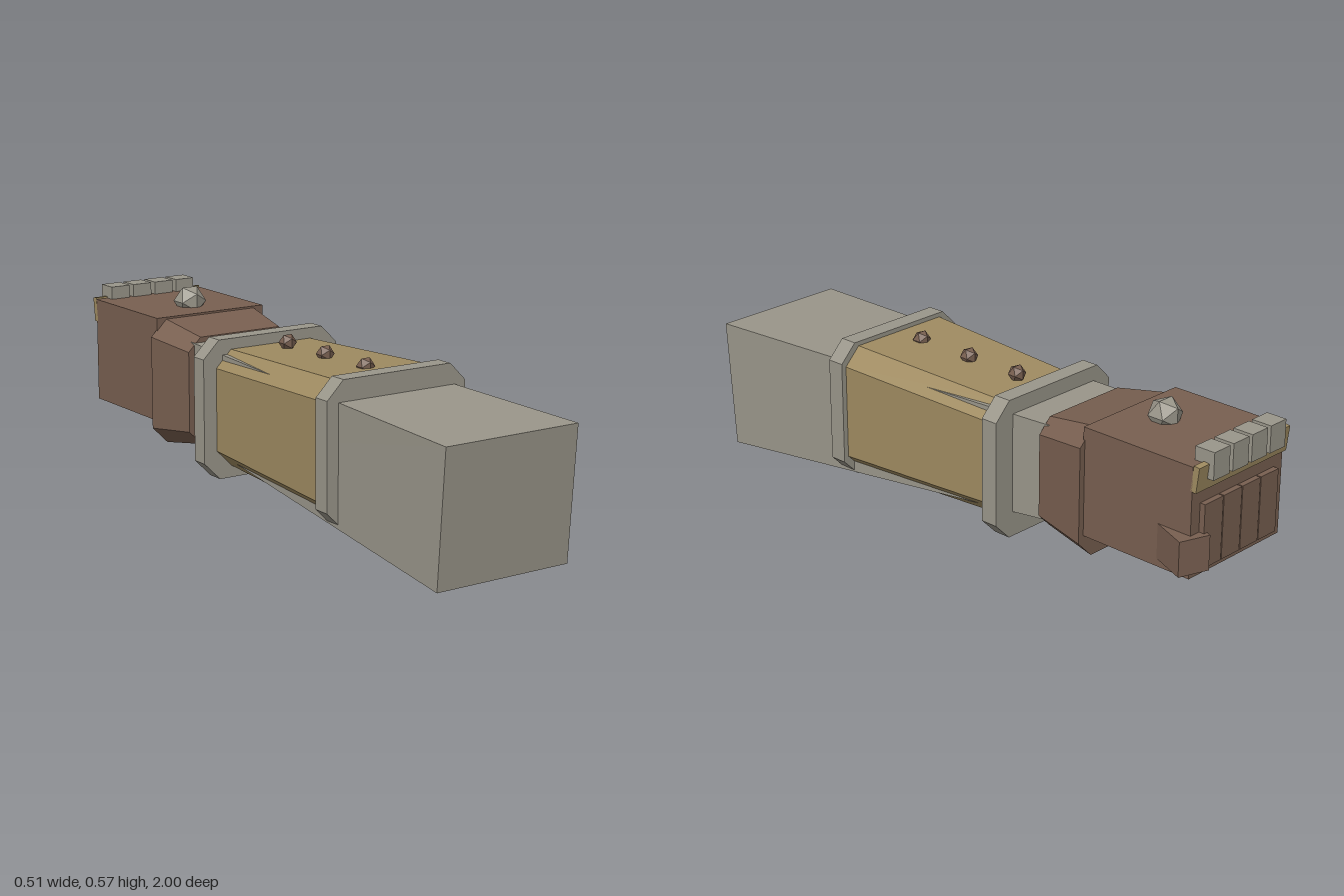
import * as THREE from 'three';

const mat = (name, color) => {
  const m = new THREE.MeshStandardMaterial({ color, flatShading: true });
  m.name = name;
  return m;
};

// Box section with cut corners, counter-clockwise seen from the front.
// zTop and zBottom let an end face lean.
function section(half, bottom, top, zTop, cut = 0, zBottom = zTop) {
  const pts = cut
    ? [[half - cut, bottom], [half, bottom + cut], [half, top - cut], [half - cut, top],
       [cut - half, top], [-half, top - cut], [-half, bottom + cut], [cut - half, bottom]]
    : [[half, bottom], [half, top], [-half, top], [-half, bottom]];
  return pts.map(([x, y]) => [x, y, y > (top + bottom) / 2 ? zTop : zBottom]);
}

// Closed solid between a front section and a back section
function loft(front, back) {
  const pos = [];
  const n = front.length;
  const tri = (a, b, c) => pos.push(...a, ...b, ...c);
  for (let i = 0; i < n; i++) {
    const j = (i + 1) % n;
    tri(front[i], back[i], back[j]);
    tri(front[i], back[j], front[j]);
  }
  for (let i = 1; i < n - 1; i++) {
    tri(front[0], front[i], front[i + 1]);
    tri(back[0], back[i + 1], back[i]);
  }
  const g = new THREE.BufferGeometry();
  g.setAttribute('position', new THREE.Float32BufferAttribute(pos, 3));
  g.computeVertexNormals();
  return g;
}

export function createModel() {
  const steel = mat('grey steel', 0x9a968a);
  const brass = mat('dull brass', 0x9f8b61);
  const leather = mat('brown leather', 0x785f50);

  const model = new THREE.Group();
  model.name = 'gauntletArm';
  const body = new THREE.Group();
  body.name = 'arm';
  body.position.x = -0.005;
  model.add(body);

  const add = (name, geometry, material, x = 0, y = 0, z = 0) => {
    const m = new THREE.Mesh(geometry, material);
    m.name = name;
    m.position.set(x, y, z);
    body.add(m);
    return m;
  };
  const box = (name, material, w, h, d, x, y, z) =>
    add(name, new THREE.BoxGeometry(w, h, d), material, x, y, z);

  // Tapering forearm running through to the wrist
  add('forearm', loft(section(0.235, 0, 0.42, 1, 0, 0.97), section(0.174, 0.147, 0.456, -0.4)), steel);

  // Bracer between two heavy rings
  add('bracer', loft(section(0.235, 0.066, 0.486, 0.42, 0.056), section(0.205, 0.088, 0.465, -0.21, 0.055)), brass);
  for (const [name, z] of [['elbowRing', 0.47], ['wristRing', -0.2]]) {
    add(name, loft(section(0.252, 0.05, 0.5, z, 0.057), section(0.252, 0.05, 0.5, z - 0.058, 0.057)), steel);
  }
  for (const z of [0.31, 0.1, -0.105]) {
    add('bracerStud', new THREE.IcosahedronGeometry(0.029), leather, 0, 0.486, z);
  }

  // Flared cuff and hand
  add('cuff', loft(section(0.196, 0.12, 0.473, -0.38, 0.045), section(0.225, 0.09, 0.505, -0.565, 0.055)), leather);
  box('hand', leather, 0.41, 0.345, 0.4, 0, 0.338, -0.76);
  add('handStud', new THREE.IcosahedronGeometry(0.054), steel, 0, 0.527, -0.69);

  // Curled fingers, knuckle strip and knuckle blocks
  for (let i = 0; i < 4; i++) {
    const x = (i - 1.5) * 0.0845;
    box('finger', leather, 0.081, 0.2, 0.03, x, 0.29, -0.963);
    box('knuckle', steel, 0.07, 0.085, 0.068, x, 0.51, -0.965);
  }
  const strip = box('knuckleStrip', brass, 0.41, 0.08, 0.02, 0, 0.475, -0.968);
  strip.rotation.x = -0.12;

  // Thumb block angled across the side of the hand
  const outline = new THREE.Shape([[0.16, 0.995], [0.255, 0.962], [0.2, 0.83], [0.11, 0.865]]
    .map(([x, y]) => new THREE.Vector2(x, y)));
  const thumb = new THREE.ExtrudeGeometry(outline, { depth: 0.11, bevelEnabled: false });
  thumb.rotateX(-Math.PI / 2);
  add('thumb', thumb, leather, 0, 0.19, 0);

  return model;
}
